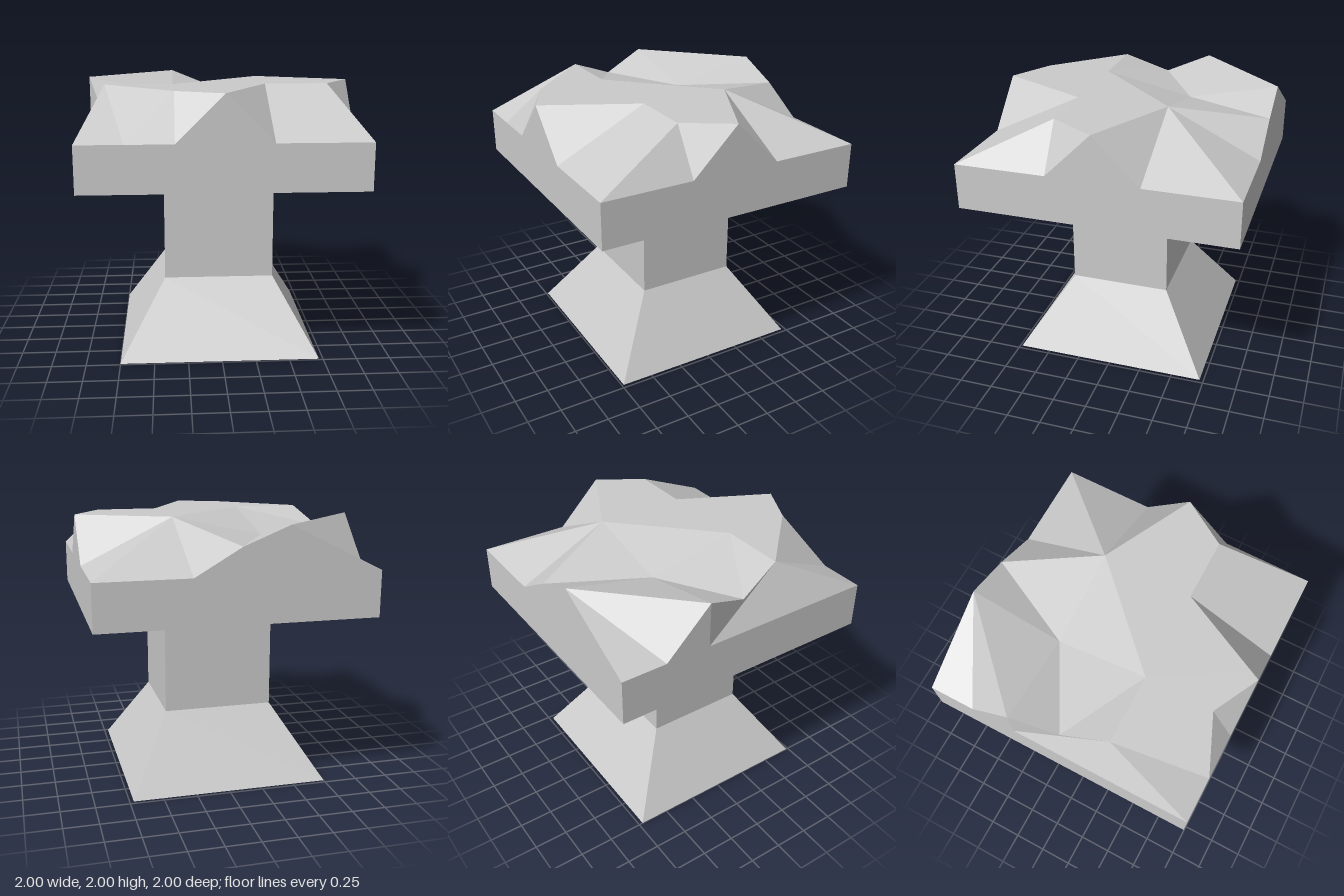
import * as THREE from 'three';

const material = new THREE.MeshStandardMaterial({ color: 0xcccccc, flatShading: true });

// Flat-shaded mesh from polygons, each a fan of [x, y, z] corners
function facetMesh(name, polygons) {
  const positions = [];
  for (const p of polygons)
    for (let i = 1; i < p.length - 1; i++) positions.push(...p[0], ...p[i], ...p[i + 1]);
  const geometry = new THREE.BufferGeometry();
  geometry.setAttribute('position', new THREE.Float32BufferAttribute(positions, 3));
  geometry.computeVertexNormals();
  const mesh = new THREE.Mesh(geometry, material);
  mesh.name = name;
  return mesh;
}

// Rectangle of four corners at height y
const ring = (y, x0, x1, z0, z1) => [[x0, y, z0], [x0, y, z1], [x1, y, z1], [x1, y, z0]];

// Side quads between successive rings
function loft(rings) {
  const faces = [];
  for (let r = 0; r < rings.length - 1; r++) {
    const low = rings[r], high = rings[r + 1];
    for (let i = 0; i < low.length; i++) {
      const j = (i + 1) % low.length;
      faces.push([high[i], low[i], low[j], high[j]]);
    }
  }
  return faces;
}

const T = 1 / 3, LOW = 1.67, MID = 1.865, TOP = 2, BOTTOM = 1.335;

// Named points of the rugged top: rim points by side, then inner points
const P = {
  nw: [-1, LOW, -1], w1: [-1, LOW, -2 * T], w2: [-1, TOP, -T], w3: [-1, LOW, -T],
  sw: [-1, LOW, 1], s1: [-2 * T, LOW, 1], s2: [-T, LOW, 1], s3: [0, TOP, 1], s4: [T, LOW, 1],
  se: [1, LOW, 1], e1: [1, LOW, T], e2: [1, TOP, 0], e3: [1, LOW, -T],
  ne: [1, LOW, -1], n1: [T, LOW, -1], n2: [0, MID, -1], n3: [-T, TOP, -1],
  dip: [-T, 1.855, -T], b: [T, TOP, -T], c: [-T, TOP, T], d: [T, TOP, T],
  f: [0.79, TOP, T], g: [-T, TOP, 0.83], m: [-0.915, MID, 0], e: [-0.83, TOP, T],
};
const rim = 'nw w1 w2 w3 sw s1 s2 s3 s4 se e1 e2 e3 ne n1 n2 n3'.split(' ').map((k) => P[k]);

const topFaces = [
  // back-left corner and dip
  'nw w1 n3', 'w1 w2 n3', 'w2 dip n3', 'n3 dip n2', 'n2 dip b', 'w2 m dip', 'c dip m e', 'dip c b',
  // back-right corner
  'n2 b n1', 'n1 b ne', 'b e3 ne', 'b e2 e3',
  // level plateau
  'c e g', 'c g s3', 'c s3 d', 'c d b', 'b d f', 'b f e2',
  // front slopes
  's3 s4 d', 'd s4 se f', 'f se e1 e2', 'g s2 s3', 'g s1 s2', 'e s1 g', 'e sw s1',
  // left slope and step
  'e m w3 sw', 'w2 w3 m',
].map((f) => f.split(' ').map((k) => P[k]));

export function createModel() {
  const group = new THREE.Group();

  // Flared foot and square column
  const foot = ring(0, -0.75, 0.72, -0.72, 0.735);
  const neck = ring(0.54, -0.415, 0.405, -0.365, 0.385);
  const head = ring(1.44, -0.415, 0.405, -0.365, 0.385);
  group.add(facetMesh('foot', [[...foot].reverse(), ...loft([foot, neck])]));
  group.add(facetMesh('column', loft([neck, head])));

  // Recessed underside of the slab
  const recess = ring(1.5, -0.7, 0.7, -0.7, 0.7);
  const edge = ring(BOTTOM, -1, 1, -1, 1);
  group.add(facetMesh('slabUnderside', loft([head, recess, edge])));

  // Slab walls and rugged top
  const lowerRim = rim.map(([x, , z]) => [x, BOTTOM, z]);
  group.add(facetMesh('slabWalls', loft([lowerRim, rim])));
  group.add(facetMesh('ruggedTop', topFaces));
  return group;
}
